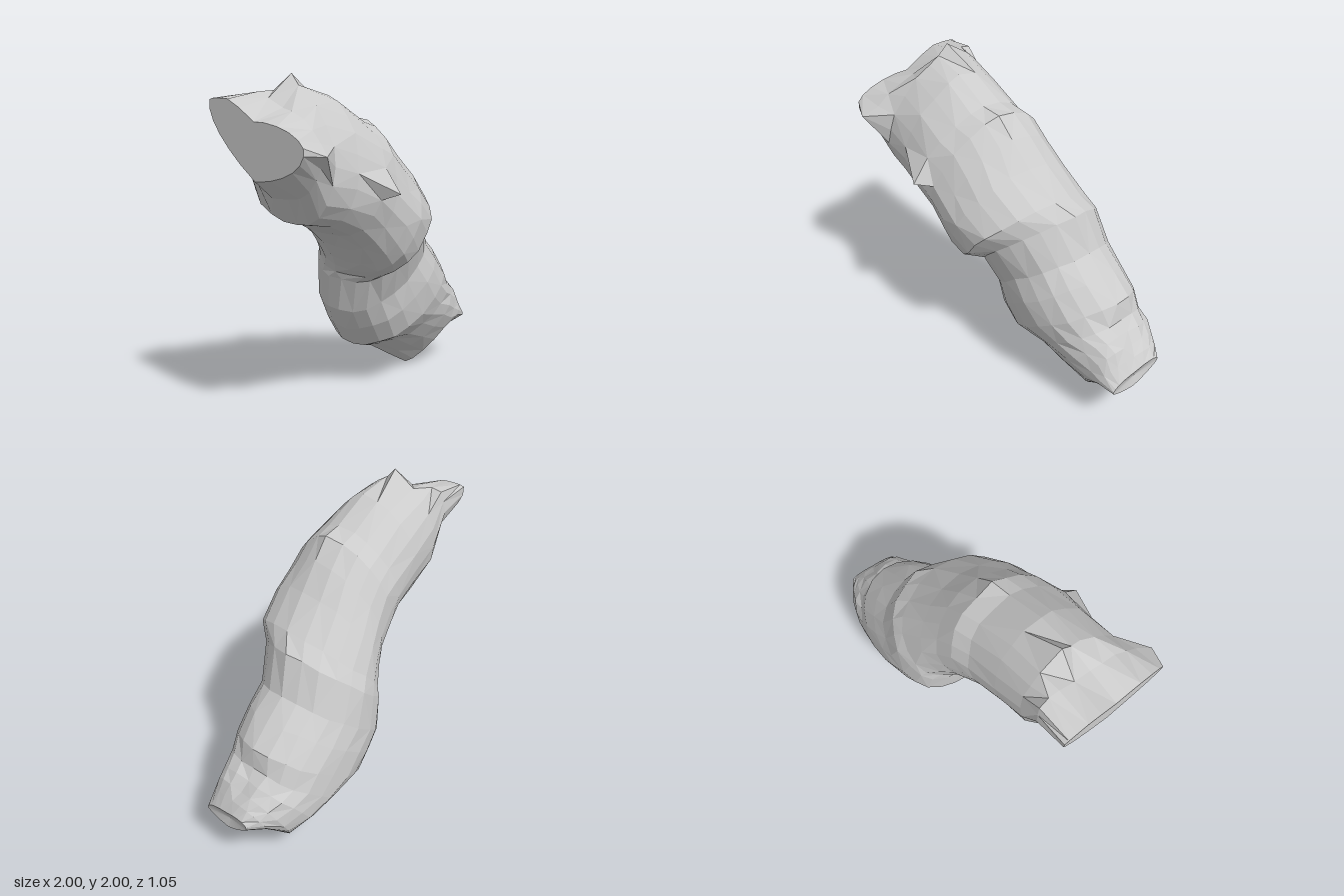
import * as THREE from 'three';

// Cross-sections along the bent body:
// upper x, y, lower x, y, front z, back z, front drop, back drop
const SECTIONS = [
  [-1.0, 1.74, -1.0, 1.43, 0.48, -0.27, -0.1, -1.6],
  [-0.8, 1.81, -0.88, 1.33, 0.46, -0.27, 0.1, -0.9],
  [-0.65, 1.93, -0.78, 1.19, 0.42, -0.28, 0.25, -0.15],
  [-0.43, 1.88, -0.62, 1.165, 0.43, -0.29, 0.25, 0],
  [-0.2, 1.76, -0.47, 1.09, 0.44, -0.31, 0.2, 0],
  [-0.08, 1.74, -0.36, 1.0, 0.43, -0.34, 0.2, 0],
  [0.03, 1.62, -0.25, 0.89, 0.43, -0.37, 0.15, 0],
  [0.16, 1.48, -0.2, 0.83, 0.42, -0.41, 0.15, 0],
  [0.35, 1.32, -0.15, 0.785, 0.38, -0.46, 0.15, 0.1],
  [0.43, 1.23, -0.135, 0.74, 0.26, -0.49, 0.1, 0.1],
  [0.52, 1.0, -0.12, 0.53, 0.19, -0.515, 0, 0.05],
  [0.64, 0.89, -0.06, 0.4, 0.19, -0.525, 0, 0],
  [0.77, 0.77, 0.02, 0.27, 0.17, -0.525, 0, 0],
  [0.8, 0.65, 0.22, 0.22, 0.13, -0.52, -0.1, 0],
  [0.85, 0.59, 0.42, 0.11, 0.09, -0.5, -0.25, -0.1],
  [0.9, 0.53, 0.61, 0.0, 0.06, -0.46, -0.35, -0.2],
  [0.95, 0.48, 0.8, 0.19, 0.05, -0.4, -0.1, -0.3],
  [0.995, 0.41, 0.985, 0.28, 0.02, -0.34, 0.4, -0.8],
];

// Small pointed bumps pulled out of the surface
const PEAKS = [
  [-0.65, 2.0, 0.01],
  [-0.88, 1.57, 0.52],
  [-0.31, 1.34, 0.515],
  [0.61, 0.0, -0.21],
];

const SIDES = 22;

// Roundness of a section: bevelled front shoulder at the upper end,
// pointed keel at the lower end, full elsewhere
function roundness(i, cos, sin) {
  if (i < 7 && cos > 0 && sin > 0) return 1.2;
  if (i > 12 && cos < 0) return i > 14 ? 1.4 : 1.15;
  return 0.92;
}

function createBody() {
  let seed = 7;
  const jitter = () => {
    seed = (seed * 16807) % 2147483647;
    return (seed / 2147483647 - 0.5) * 0.014;
  };
  const soften = (v, p) => Math.sign(v) * Math.pow(Math.abs(v), p);
  const points = [];

  // Rings of sheared, rounded cross-sections, slightly roughened
  SECTIONS.forEach(([ux, uy, lx, ly, zf, zb, frontDrop, backDrop], i) => {
    const rough = i === 0 || i > 14 ? 0 : 1;
    for (let j = 0; j < SIDES; j++) {
      const a = (j / SIDES) * Math.PI * 2;
      const p = roundness(i, Math.cos(a), Math.sin(a));
      const s = soften(Math.sin(a), p);
      const drop = Math.abs(s) * (s > 0 ? frontDrop : backDrop);
      const c = THREE.MathUtils.clamp(soften(Math.cos(a), p) - drop, -1, 1.8);
      points.push(new THREE.Vector3(
        (ux + lx) / 2 + ((ux - lx) / 2) * c + rough * jitter(),
        (uy + ly) / 2 + ((uy - ly) / 2) * c + rough * jitter(),
        (zf + zb) / 2 + ((zf - zb) / 2) * s + rough * jitter()
      ));
    }
  });

  // Pull the nearest corner out to each peak
  for (const peak of PEAKS) {
    const target = new THREE.Vector3(...peak);
    points.reduce((best, p) =>
      p.distanceTo(target) < best.distanceTo(target) ? p : best).copy(target);
  }

  // Skin between the rings
  const index = [];
  const at = (i, j) => i * SIDES + (j % SIDES);
  const last = SECTIONS.length - 1;
  for (let i = 0; i < last; i++) {
    for (let j = 0; j < SIDES; j++) {
      const a = at(i, j), b = at(i, j + 1), c = at(i + 1, j), d = at(i + 1, j + 1);
      if ((i + j) % 2) index.push(a, b, c, b, d, c);
      else index.push(a, b, d, a, d, c);
    }
  }

  // Flat cut at the upper end, notched closing at the lower end
  const startCentre = points.length;
  points.push(new THREE.Vector3(-1, 1.64, 0.05), new THREE.Vector3(0.97, 0.35, -0.17));
  for (let j = 0; j < SIDES; j++) {
    index.push(startCentre, at(0, j + 1), at(0, j));
    index.push(startCentre + 1, at(last, j), at(last, j + 1));
  }

  const geometry = new THREE.BufferGeometry().setFromPoints(points);
  geometry.setIndex(index);
  geometry.computeVertexNormals();
  return geometry;
}

export function createModel() {
  const group = new THREE.Group();
  const material = new THREE.MeshStandardMaterial({ color: 0xcccccc, flatShading: true });
  const body = new THREE.Mesh(createBody(), material);
  body.name = 'bentBody';
  group.add(body);
  return group;
}
